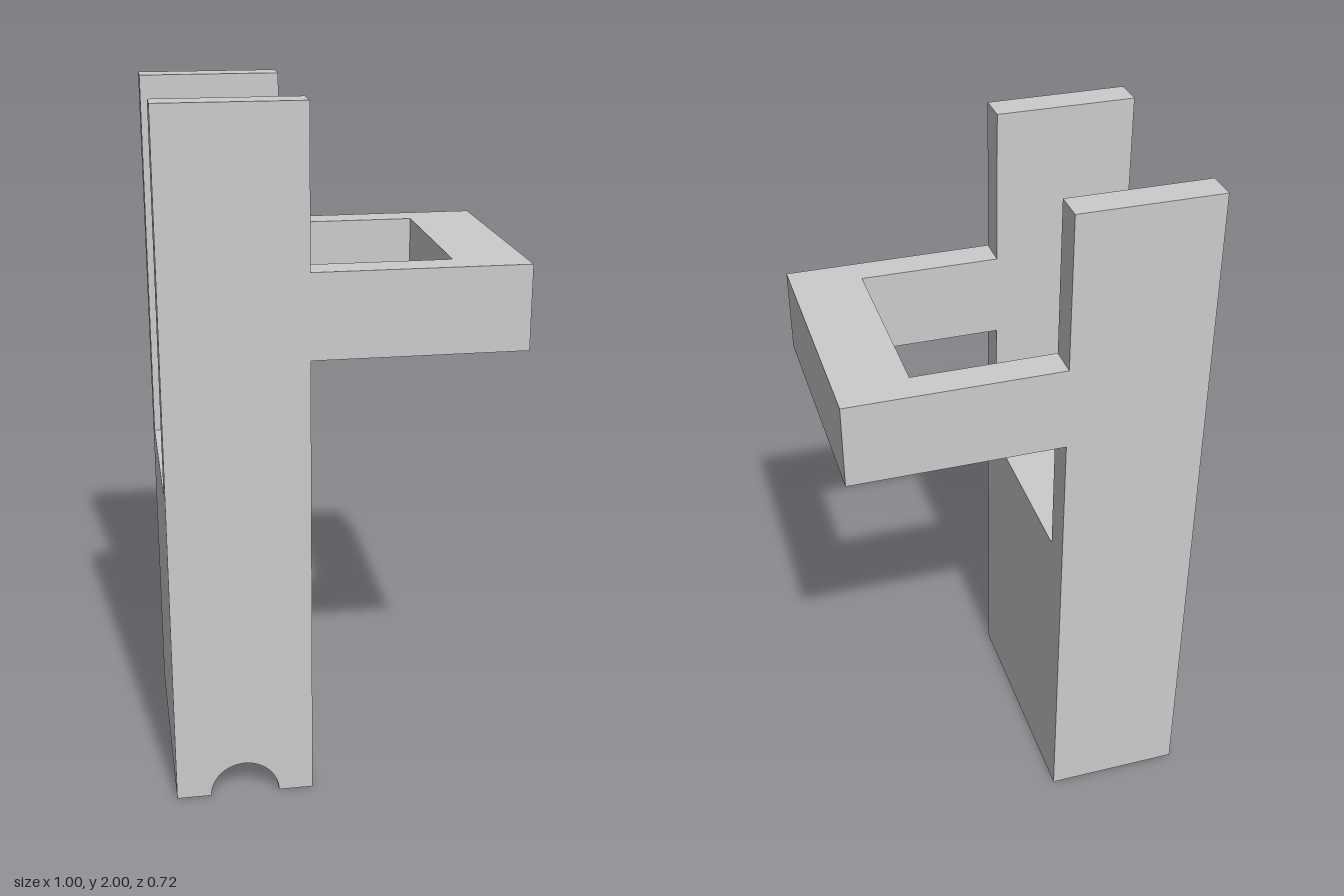
import * as THREE from 'three';
import { toCreasedNormals } from 'three/addons/utils/BufferGeometryUtils.js';

const LEFT = -0.5, RIGHT = -0.1, REACH = 0.5; // post sides and end of the collar
const TOP = 2, SLOT = 0.92;                   // post top and floor of the slot
const ARM_LOW = 1.32, ARM_HIGH = 1.56;        // collar height range
const OUT = 0.36, IN = 0.27, NOTCH_END = 0.18; // depths along z

export function createModel() {
  const group = new THREE.Group();
  const material = new THREE.MeshStandardMaterial({ color: 0xcccccc });

  // Side profile, optionally with a round notch in its base, extruded from z0 to z1
  function addSlab(name, points, z0, z1, notched = false) {
    const shape = new THREE.Shape();
    shape.moveTo(LEFT, 0);
    if (notched) {
      shape.lineTo(-0.4, 0);
      shape.absarc(-0.3, 0, 0.1, Math.PI, 0, true);
    }
    for (const [x, y] of points) shape.lineTo(x, y);
    shape.closePath();
    const geometry = new THREE.ExtrudeGeometry(shape, { depth: z1 - z0, bevelEnabled: false, curveSegments: 32 });
    const mesh = new THREE.Mesh(toCreasedNormals(geometry, 0.5), material);
    mesh.position.z = z0;
    mesh.name = name;
    group.add(mesh);
  }

  // Outer plates: full-height prong with the collar arm growing out of it
  const plate = [
    [RIGHT, 0], [RIGHT, ARM_LOW], [REACH, ARM_LOW], [REACH, ARM_HIGH],
    [RIGHT, ARM_HIGH], [RIGHT, TOP], [LEFT, TOP],
  ];
  addSlab('frontPlate', plate, IN, OUT, true);
  addSlab('backPlate', plate, -OUT, -IN);

  // Solid lower post between the plates; the notch ends inside its front part
  const core = [[RIGHT, 0], [RIGHT, SLOT], [LEFT, SLOT]];
  addSlab('notchedCore', core, NOTCH_END, IN, true);
  addSlab('postCore', core, -IN, NOTCH_END);

  // Bar closing the collar
  const bar = new THREE.Mesh(new THREE.BoxGeometry(0.2, ARM_HIGH - ARM_LOW, 2 * IN), material);
  bar.position.set(0.4, (ARM_LOW + ARM_HIGH) / 2, 0);
  bar.name = 'collarBar';
  group.add(bar);

  return group;
}
